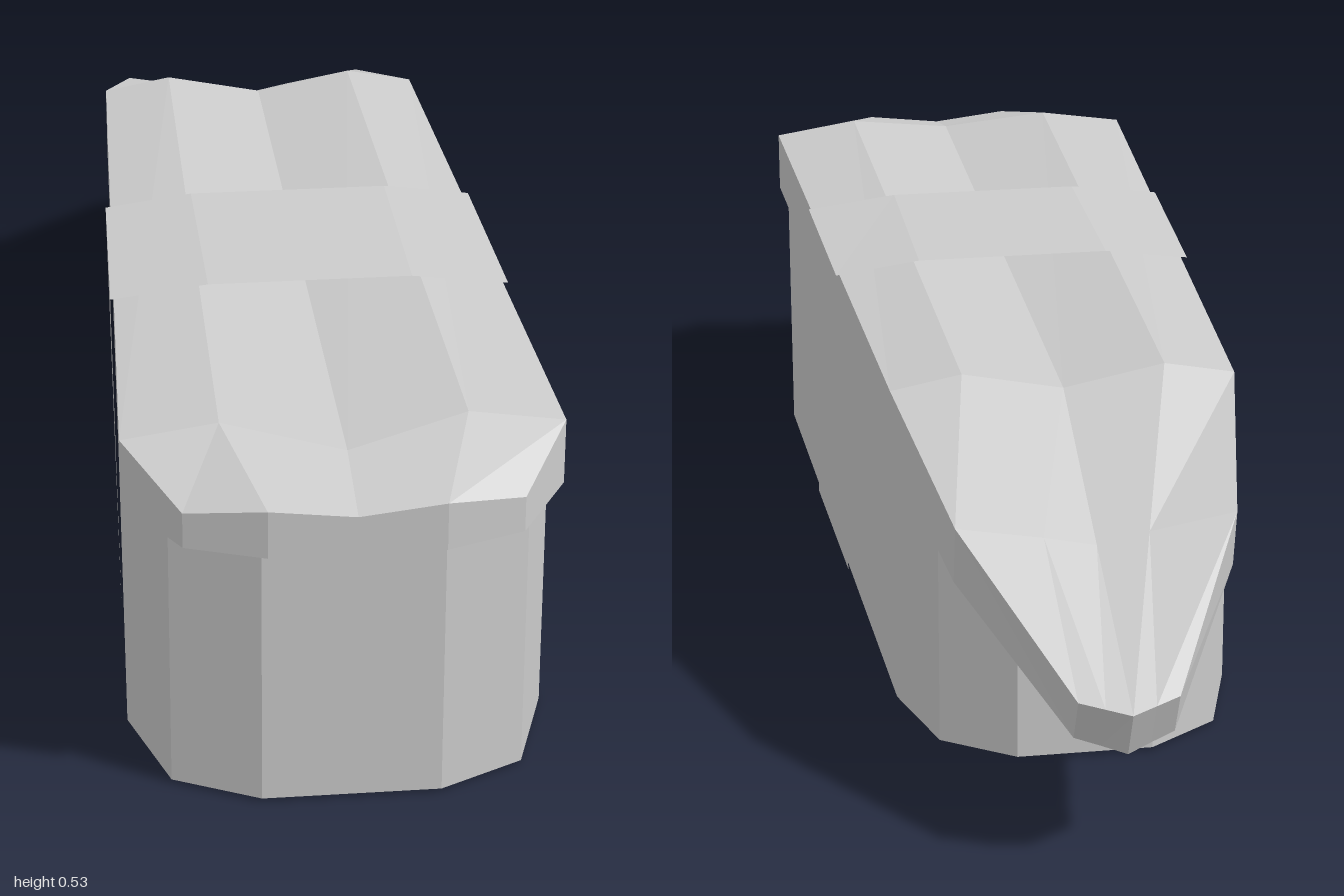
import * as THREE from 'three';

const material = () => new THREE.MeshStandardMaterial({ color: 0xcccccc, flatShading: true });

// Mirror a half section (bottom centre up the +x side to top centre) into a closed loop
const mirrorLoop = (half) => [
  ...half,
  ...half.filter((p) => p[0] > 0).reverse().map(([x, y, z]) => [-x, y, z]),
];

// Skin closed loops ordered front to back; caps lists quads closing the ends
function loft(loops, caps = []) {
  const pos = [];
  const quad = (a, b, c, d) => pos.push(...a, ...b, ...c, ...a, ...c, ...d);
  for (let i = 0; i + 1 < loops.length; i++) {
    const p = loops[i], q = loops[i + 1], n = p.length;
    for (let j = 0; j < n; j++) {
      const k = (j + 1) % n;
      quad(q[j], q[k], p[k], p[j]);
    }
  }
  const first = loops[0], last = loops[loops.length - 1];
  for (const [a, b, c, d] of caps) {
    quad(first[a], first[b], first[c], first[d]);
    quad(last[d], last[c], last[b], last[a]);
  }
  const geo = new THREE.BufferGeometry();
  geo.setAttribute('position', new THREE.Float32BufferAttribute(pos, 3));
  geo.computeVertexNormals();
  return geo;
}

export function createModel() {
  const group = new THREE.Group();
  const add = (name, geo) => {
    const mesh = new THREE.Mesh(geo, material());
    mesh.name = name;
    group.add(mesh);
  };

  // Tapered straight-walled body with chamfered ends, outline given as x, z
  const side = [[0.125, 0.96], [0.246, 0.9], [0.298, 0.74], [0.25, -0.41], [0.205, -0.56], [0.1, -0.63]];
  const outline = [...side, ...side.map(([x, z]) => [-x, z]).reverse()];
  const shape = new THREE.Shape(outline.map(([x, z]) => new THREE.Vector2(x, -z)));
  const body = new THREE.ExtrudeGeometry(shape, { depth: 0.405, bevelEnabled: false });
  body.rotateX(-Math.PI / 2);
  body.translate(0, 0.005, 0);
  // Lower the rear wall tops so they stay under the drooping lid
  const p = body.attributes.position;
  for (let i = 0; i < p.count; i++) {
    if (p.getY(i) > 0.3 && p.getZ(i) < -0.5) p.setY(i, p.getZ(i) < -0.6 ? 0.345 : 0.365);
  }
  body.computeVertexNormals();
  add('body', body);

  // Lid: points run underside centre, underside, lower rim, upper rim, ridge, centre groove
  const lidSections = [
    [[0, 0.408, 1], [0.12, 0.408, 1], [0.23, 0.408, 0.96], [0.23, 0.46, 0.96], [0.12, 0.478, 1], [0, 0.464, 1]],
    [[0, 0.408, 0.83], [0.17, 0.408, 0.83], [0.305, 0.408, 0.83], [0.305, 0.505, 0.83], [0.17, 0.525, 0.83], [0, 0.495, 0.87]],
    [[0, 0.408, -0.42], [0.15, 0.408, -0.42], [0.255, 0.408, -0.42], [0.255, 0.505, -0.42], [0.15, 0.525, -0.42], [0, 0.495, -0.42]],
    [[0, 0.3, -0.69], [0.08, 0.31, -0.69], [0.2, 0.32, -0.69], [0.2, 0.41, -0.71], [0.075, 0.388, -0.71], [0, 0.372, -0.71]],
    [[0, 0.175, -0.965], [0.035, 0.183, -0.95], [0.07, 0.19, -0.935], [0.07, 0.26, -0.97], [0.035, 0.255, -0.985], [0, 0.25, -1]],
  ];
  const lidCaps = [[0, 1, 4, 5], [1, 2, 3, 4], [9, 0, 5, 6], [8, 9, 6, 7]];
  add('lid', loft(lidSections.map(mirrorLoop), lidCaps));

  // Thin open band wrapped around body and lid
  const bandLoop = (bottom, top, z) => mirrorLoop([[bottom, 0, z], [top, 0.51, z], [0.15, 0.528, z]]);
  add('band', loft([bandLoop(0.287, 0.293, 0.4), bandLoop(0.272, 0.282, 0.07)]));

  return group;
}
